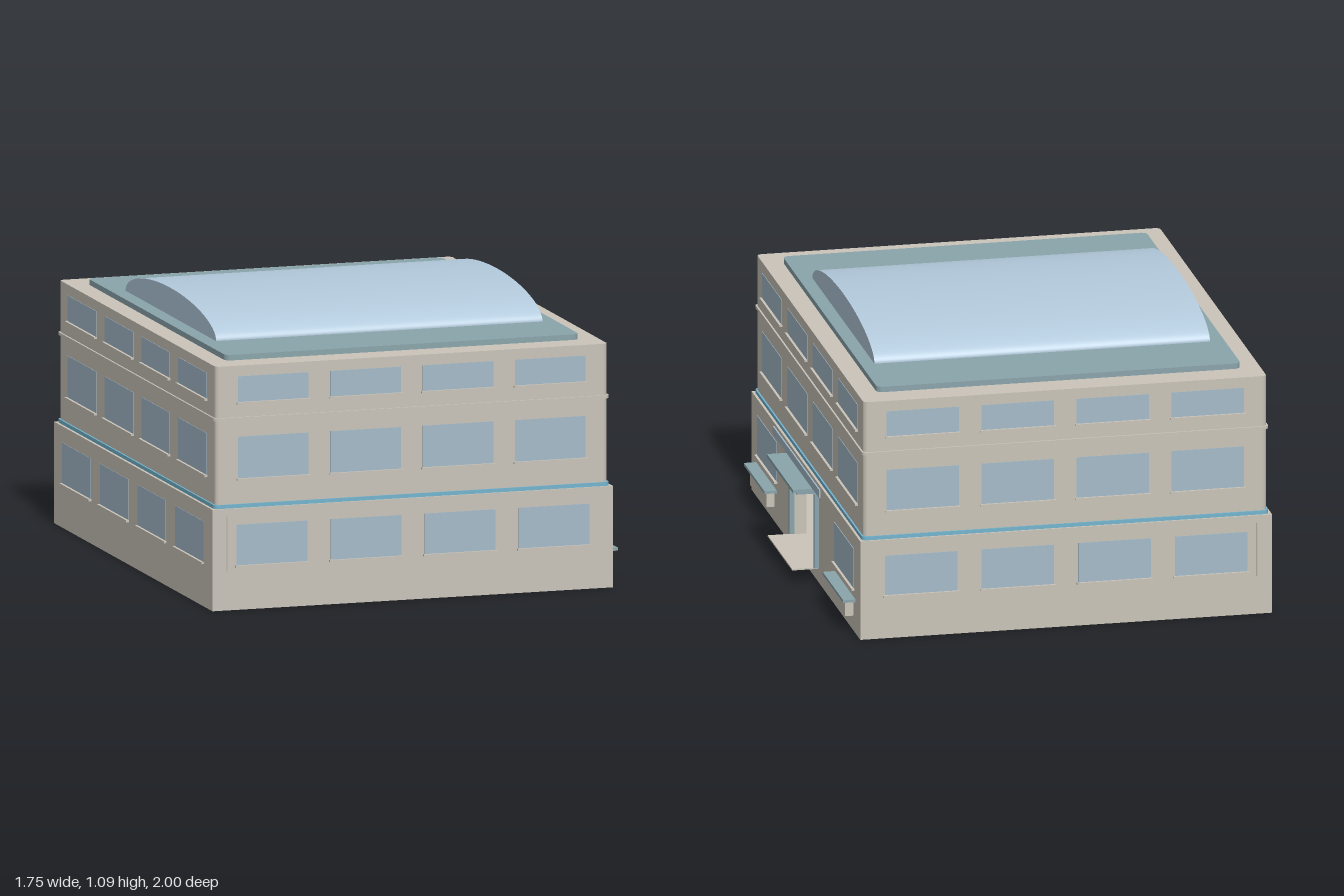
import * as THREE from 'three';

const mat = (name, color) => Object.assign(new THREE.MeshStandardMaterial({ color }), { name });

export function createModel() {
  const stone = mat('stone', 0xcac4b9);
  const teal = mat('teal metal', 0x8aa5ab);
  const glass = mat('window glass', 0xa5bbc9);
  const skylightGlass = mat('skylight glass', 0xb3cadc);
  const blue = mat('blue band', 0x74b5cf);

  const model = new THREE.Group();
  model.name = 'building';
  const CX = -0.048; // centre of the main block

  const add = (parent, name, geo, material, x = 0, y = 0, z = 0) => {
    const m = new THREE.Mesh(geo, material);
    m.name = name;
    m.position.set(x, y, z);
    parent.add(m);
    return m;
  };
  // Box given by its extents on each axis
  const box = (parent, name, material, [x0, x1], [y0, y1], [z0, z1]) =>
    add(parent, name, new THREE.BoxGeometry(x1 - x0, y1 - y0, z1 - z0), material,
      (x0 + x1) / 2, (y0 + y1) / 2, (z0 + z1) / 2);
  // Upright slab with rounded corners in plan
  const slab = (name, material, hx, hz, r, y0, y1) => {
    const s = new THREE.Shape();
    s.moveTo(-hx + r, -hz);
    s.lineTo(hx - r, -hz);
    s.absarc(hx - r, -hz + r, r, -Math.PI / 2, 0);
    s.absarc(hx - r, hz - r, r, 0, Math.PI / 2);
    s.absarc(-hx + r, hz - r, r, Math.PI / 2, Math.PI);
    s.absarc(-hx + r, -hz + r, r, Math.PI, Math.PI * 1.5);
    const g = new THREE.ExtrudeGeometry(s, { depth: y1 - y0, bevelEnabled: false, curveSegments: 5 });
    g.rotateX(-Math.PI / 2);
    return add(model, name, g, material, CX, y0, 0);
  };

  // Hollow ground floor with an open doorway in the right-hand wall
  const [X0, X1, Z] = [-0.866, 0.769, 0.987];
  const T = 0.05;
  box(model, 'groundFloorBase', stone, [X0, X1], [0, 0.055], [-Z, Z]);
  box(model, 'groundWallFront', stone, [X0, X1], [0.055, 0.4], [Z - T, Z]);
  box(model, 'groundWallBack', stone, [X0, X1], [0.055, 0.4], [-Z, -Z + T]);
  box(model, 'groundWallSide', stone, [X0, X0 + T], [0.055, 0.4], [-Z + T, Z - T]);
  const W = Z - T;
  const wall = new THREE.Shape([[-W, 0.055], [W, 0.055], [W, 0.4], [-W, 0.4]].map(p => new THREE.Vector2(...p)));
  wall.holes.push(new THREE.Path([[-0.22, 0.056], [-0.22, 0.36], [0.22, 0.36], [0.22, 0.056]].map(p => new THREE.Vector2(...p))));
  const wallGeo = new THREE.ExtrudeGeometry(wall, { depth: T, bevelEnabled: false });
  wallGeo.rotateY(Math.PI / 2);
  add(model, 'entranceWall', wallGeo, stone, X1 - T, 0, 0);
  box(model, 'lobbyCeiling', teal, [X0 + T, X1 - T], [0.362, 0.399], [-W, W]);

  // Upper storeys, bands and roof slab
  slab('upperStoreys', stone, 0.8, 0.972, 0.02, 0.4, 0.96);
  slab('blueBand', blue, 0.807, 0.978, 0.02, 0.4, 0.415);
  slab('stoneLedge', stone, 0.807, 0.979, 0.02, 0.745, 0.757);
  slab('roofSlab', teal, 0.722, 0.858, 0.025, 0.96, 0.982);

  // Barrel skylight: half ellipse extruded along x
  const arc = new THREE.Shape();
  arc.absellipse(0, 0, 0.563, 0.11, 0, Math.PI, false);
  const vault = new THREE.ExtrudeGeometry(arc, { depth: 1.332, bevelEnabled: false, curveSegments: 32 });
  // Smooth normals round the curved face, flat ends and base
  const pos = vault.attributes.position, nor = vault.attributes.normal;
  for (let i = 0; i < pos.count; i++) {
    if (Math.abs(nor.getZ(i)) > 0.5 || nor.getY(i) < -0.5) continue;
    const n = new THREE.Vector3(pos.getX(i) / 0.563 ** 2, pos.getY(i) / 0.11 ** 2, 0).normalize();
    nor.setXYZ(i, n.x, n.y, 0);
  }
  vault.rotateY(Math.PI / 2);
  add(model, 'skylight', vault, skylightGlass, -0.712, 0.982, 0);

  // Windows with sills, laid out in a frame facing +z for each side
  const facade = (name, angle, x, z) => {
    const g = new THREE.Group();
    g.name = name;
    g.rotation.y = angle;
    g.position.set(x, 0, z);
    model.add(g);
    return g;
  };
  const windowUnit = (g, u, w, y0, y1) => {
    box(g, 'window', glass, [u - w / 2, u + w / 2], [y0, y1], [-0.002, 0.002]);
    box(g, 'sill', stone, [u - w / 2 - 0.006, u + w / 2 + 0.006], [y0 - 0.008, y0], [-0.002, 0.012]);
  };
  const sides = [
    { name: 'front', angle: 0, dx: 0, dz: 1 },
    { name: 'right', angle: Math.PI / 2, dx: 1, dz: 0 },
    { name: 'back', angle: Math.PI, dx: 0, dz: -1 },
    { name: 'left', angle: -Math.PI / 2, dx: -1, dz: 0 },
  ];
  for (const { name, angle, dx, dz } of sides) {
    const wide = dx !== 0;
    const pitch = wide ? 0.459 : 0.377, w = wide ? 0.353 : 0.288;
    const ground = facade(name + 'GroundWindows', angle, CX + dx * 0.8175, dz * Z);
    const upper = facade(name + 'UpperWindows', angle, CX + dx * 0.8, dz * 0.972);
    for (let i = 0; i < 4; i++) {
      const u = (i - 1.5) * pitch;
      const doorway = name === 'right' && (i === 1 || i === 2);
      if (!doorway) windowUnit(ground, u * 1.018, w, 0.176, 0.336);
      windowUnit(upper, u, w, 0.516, 0.68);
      windowUnit(upper, u, w, 0.817, 0.918);
    }
  }

  // Thin downpipes near the far corner, front and back
  for (const s of [-1, 1])
    add(model, 'downpipe', new THREE.CylinderGeometry(0.003, 0.003, 0.217, 8), stone, -0.807, 0.263, s * (Z + 0.003));

  // Entrance: canopy, step, frame and sign boards
  box(model, 'canopy', teal, [X1, 0.872], [0.371, 0.384], [-0.236, 0.236]);
  box(model, 'canopyUnderside', teal, [X1, 0.855], [0.36, 0.371], [-0.225, 0.225]);
  box(model, 'doorStep', stone, [X1, 0.872], [0.052, 0.058], [-0.222, 0.222]);
  for (const s of [-1, 1])
    add(model, 'doorPost', new THREE.BoxGeometry(0.02, 0.302, 0.016), teal, 0.777, 0.209, s * 0.226);
  box(model, 'signBoard', glass, [0.803, 0.809], [0.404, 0.437], [-0.42, 0.42]);
  box(model, 'smallSignBoard', glass, [0.788, 0.793], [0.384, 0.401], [-0.102, 0.102]);

  // Counters under the two side windows
  for (const s of [-1, 1]) {
    const c = s * 0.715;
    box(model, 'counterTop', teal, [X1, 0.818], [0.127, 0.138], [c - 0.187, c + 0.187]);
    box(model, 'counterBase', stone, [X1, 0.802], [0.06, 0.127], [c - 0.147, c + 0.147]);
  }
  return model;
}
